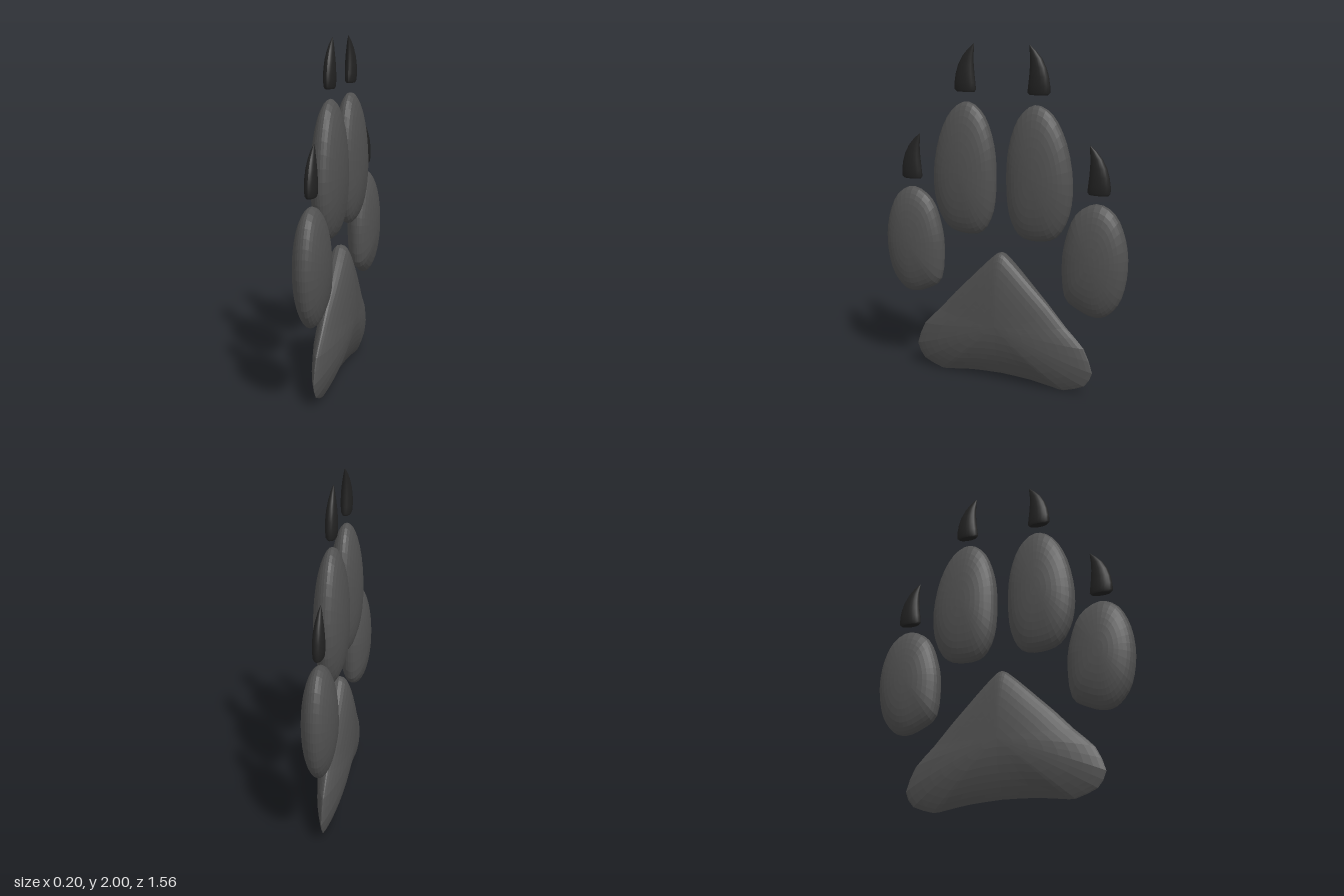
import * as THREE from 'three';

const padMaterial = new THREE.MeshStandardMaterial({ color: 0x505050, flatShading: true });
const clawMaterial = new THREE.MeshStandardMaterial({ color: 0x222222 });

// Outlines are [z, y] points, running from the -z side over the top to +z.
const innerToe = [
  [0.036, 1.22], [0.05, 1.42], [0.11, 1.59], [0.21, 1.67], [0.32, 1.62], [0.405, 1.46],
  [0.445, 1.24], [0.425, 1.05], [0.35, 0.92], [0.23, 0.885], [0.12, 0.91], [0.055, 1.03],
];
const outerToe = [
  [0.39, 0.77], [0.41, 0.92], [0.47, 1.07], [0.59, 1.14], [0.7, 1.09], [0.765, 0.95],
  [0.782, 0.78], [0.75, 0.61], [0.68, 0.51], [0.6, 0.48], [0.5, 0.51], [0.41, 0.58],
];
// Half of the main pad, from the apex down to the middle of the lower edge.
const heelHalf = [
  [0, 0.795], [0.03, 0.783], [0.1, 0.72], [0.22, 0.6], [0.31, 0.51], [0.42, 0.39], [0.53, 0.28],
  [0.585, 0.14], [0.535, 0.05], [0.41, 0.004], [0.34, 0.01], [0.2, 0.03], [0, 0.04],
];

const mirror = (points) => points.map(([z, y]) => [-z, y]).reverse();

// Cushion: a sphere with its poles on x whose rings follow the outline.
// power(angle) sets how sharply the thickness falls off towards the rim.
function makePad(name, outline, center, half, tension, segments, power = () => 1) {
  const curve = new THREE.CatmullRomCurve3(
    outline.map(([z, y]) => new THREE.Vector3(0, y, z)), true, 'catmullrom', tension);
  const rings = 20;
  const geometry = new THREE.SphereGeometry(1, segments, rings);
  const position = geometry.attributes.position;
  for (let i = 0; i < position.count; i++) {
    const column = i % (segments + 1);
    const row = Math.floor(i / (segments + 1));
    const rim = curve.getPoint((column % segments) / segments);
    const a = (row / rings) * Math.PI;
    const r = row === 0 || row === rings ? 0 : Math.sin(a);
    const dz = rim.z - center[0];
    const dy = rim.y - center[1];
    const c = row * 2 === rings ? 0 : Math.cos(a);
    const x = half * Math.sign(c) * Math.abs(c) ** power(Math.atan2(dy, Math.abs(dz)));
    position.setXYZ(i, x, center[1] + dy * r, center[0] + dz * r);
  }
  geometry.computeVertexNormals();
  const mesh = new THREE.Mesh(geometry, padMaterial);
  mesh.name = name;
  return mesh;
}

// Claw sections from base to tip: [y, inner z, outer z, half thickness]
const clawSections = [
  [1.727, 0.175, 0.288, 0.024], [1.74, 0.164, 0.302, 0.03], [1.78, 0.169, 0.301, 0.034],
  [1.83, 0.175, 0.293, 0.033], [1.88, 0.179, 0.277, 0.029], [1.93, 0.18, 0.25, 0.021],
  [1.97, 0.176, 0.215, 0.012], [2.0, 0.174, 0.179, 0.002],
];

// Curved claw: a cylinder whose rows take the sizes of the sections.
function makeClaw(name, side, shiftZ, shiftY) {
  const rows = clawSections.length - 1;
  const geometry = new THREE.CylinderGeometry(1, 1, 1, 20, rows);
  const position = geometry.attributes.position;
  for (let i = 0; i < position.count; i++) {
    const [y, inner, outer, half] = clawSections[Math.round((position.getY(i) + 0.5) * rows)];
    const middle = side * ((inner + outer) / 2 + shiftZ);
    position.setXYZ(i, position.getX(i) * half, y + shiftY,
      middle + position.getZ(i) * (outer - inner) / 2);
  }
  geometry.computeVertexNormals();
  const mesh = new THREE.Mesh(geometry, clawMaterial);
  mesh.name = name;
  return mesh;
}

export function createModel() {
  const paw = new THREE.Group();
  paw.name = 'pawPrint';

  // Main pad, thinning more sharply towards its lower edge
  const heel = [...mirror(heelHalf).slice(0, -1), ...heelHalf.slice(0, -1)];
  paw.add(makePad('mainPad', heel, [0, 0.36], 0.098, 0.3, 48,
    (angle) => 1.4 - 0.6 * Math.sin(angle)));

  // Toe pads and claws, mirrored in z
  for (const side of [1, -1]) {
    const place = side > 0 ? 'front' : 'back';
    const shape = (points) => (side > 0 ? points : mirror(points));
    paw.add(
      makePad(place + 'InnerToe', shape(innerToe), [side * 0.235, 1.26], 0.097, 0.5, 36),
      makePad(place + 'OuterToe', shape(outerToe), [side * 0.59, 0.81], 0.097, 0.5, 36),
      makeClaw(place + 'InnerClaw', side, 0, 0),
      makeClaw(place + 'OuterClaw', side, 0.37, -0.537),
    );
  }
  return paw;
}
